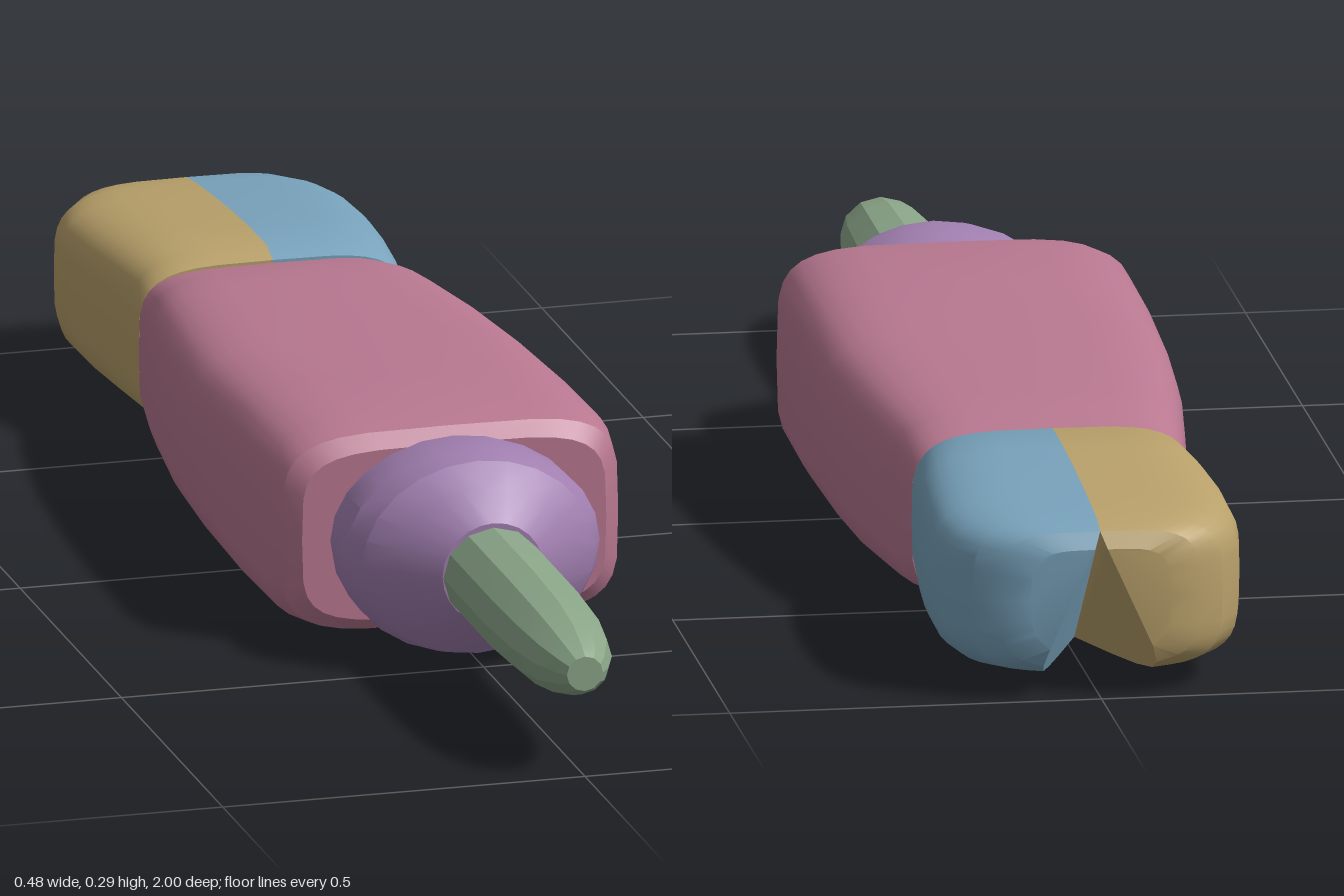
import * as THREE from 'three';
import { toCreasedNormals } from 'three/addons/utils/BufferGeometryUtils.js';
import { ConvexGeometry } from 'three/addons/geometries/ConvexGeometry.js';

// Points on rounded cross-sections, each given as [z, halfWidth, yMin, yMax];
// power 2 is an ellipse, higher values approach a rectangle.
function sectionPoints(sections, power, sides) {
  const points = [];
  const round = (v) => Math.sign(v) * Math.pow(Math.abs(v), 2 / power);
  for (const [z, w, y0, y1] of sections) {
    for (let i = 0; i < sides; i++) {
      const a = (i / sides) * Math.PI * 2;
      points.push(new THREE.Vector3(
        w * round(Math.cos(a)), (y0 + y1) / 2 + ((y1 - y0) / 2) * round(Math.sin(a)), z));
    }
  }
  return points;
}

function hullMesh(name, points, color, crease = 0.4) {
  const geometry = toCreasedNormals(new ConvexGeometry(points), crease);
  const mesh = new THREE.Mesh(geometry, new THREE.MeshStandardMaterial({ color }));
  mesh.name = name;
  return mesh;
}

export function createModel() {
  const group = new THREE.Group();

  // Main handle, tapering toward the tail
  const body = [
    [0.355, 0.21, 0.03, 0.268], [0.335, 0.232, 0.012, 0.287], [0.28, 0.241, 0.004, 0.295],
    [0.1, 0.241, 0, 0.291], [-0.1, 0.235, 0, 0.283], [-0.25, 0.225, 0.001, 0.276],
    [-0.4, 0.206, 0.005, 0.268], [-0.46, 0.198, 0.01, 0.263], [-0.54, 0.185, 0.022, 0.246],
  ];
  group.add(hullMesh('body', sectionPoints(body, 4.6, 32), 0xb87890));

  // Collar between handle and tip
  const collar = [
    [0.35, 0.17, 0.015, 0.277], [0.38, 0.176, 0.006, 0.284], [0.44, 0.177, 0.003, 0.287],
    [0.475, 0.16, 0.012, 0.28], [0.51, 0.12, 0.04, 0.254], [0.548, 0.07, 0.076, 0.215],
  ];
  group.add(hullMesh('collar', sectionPoints(collar, 2, 24), 0xa17fb0));

  // Slim tip with a blunt nose
  const tip = [
    [0.53, 0.069, 0.078, 0.209], [0.75, 0.069, 0.077, 0.209], [0.87, 0.064, 0.084, 0.204],
    [0.94, 0.054, 0.095, 0.194], [0.985, 0.036, 0.11, 0.177], [1, 0.025, 0.119, 0.167],
  ];
  group.add(hullMesh('tip', sectionPoints(tip, 2, 12), 0x8aa588));

  // Two tail halves that meet at the top and part in a wedge notch below
  const tail = [
    [-0.54, 0.185, 0.024, 0.25], [-0.57, 0.188, 0.024, 0.262], [-0.67, 0.199, 0.024, 0.261],
    [-0.76, 0.206, 0.024, 0.256], [-0.86, 0.207, 0.024, 0.248], [-0.92, 0.196, 0.026, 0.242],
    [-0.965, 0.168, 0.032, 0.236], [-0.988, 0.135, 0.045, 0.227], [-1, 0.095, 0.07, 0.205],
  ];
  for (const [name, side, color] of [['tailLeft', 1, 0x78a2bb], ['tailRight', -1, 0xb8a06a]]) {
    const points = sectionPoints(tail, 4.2, 40).filter((p) => p.x > -1e-6);
    for (const p of points) {
      const notch = 0.09 * ((-0.76 - p.z) / 0.24 - (p.y - 0.024) / 0.2);
      p.x = side * Math.max(p.x, notch, 0);
    }
    group.add(hullMesh(name, points, color));
  }
  return group;
}
